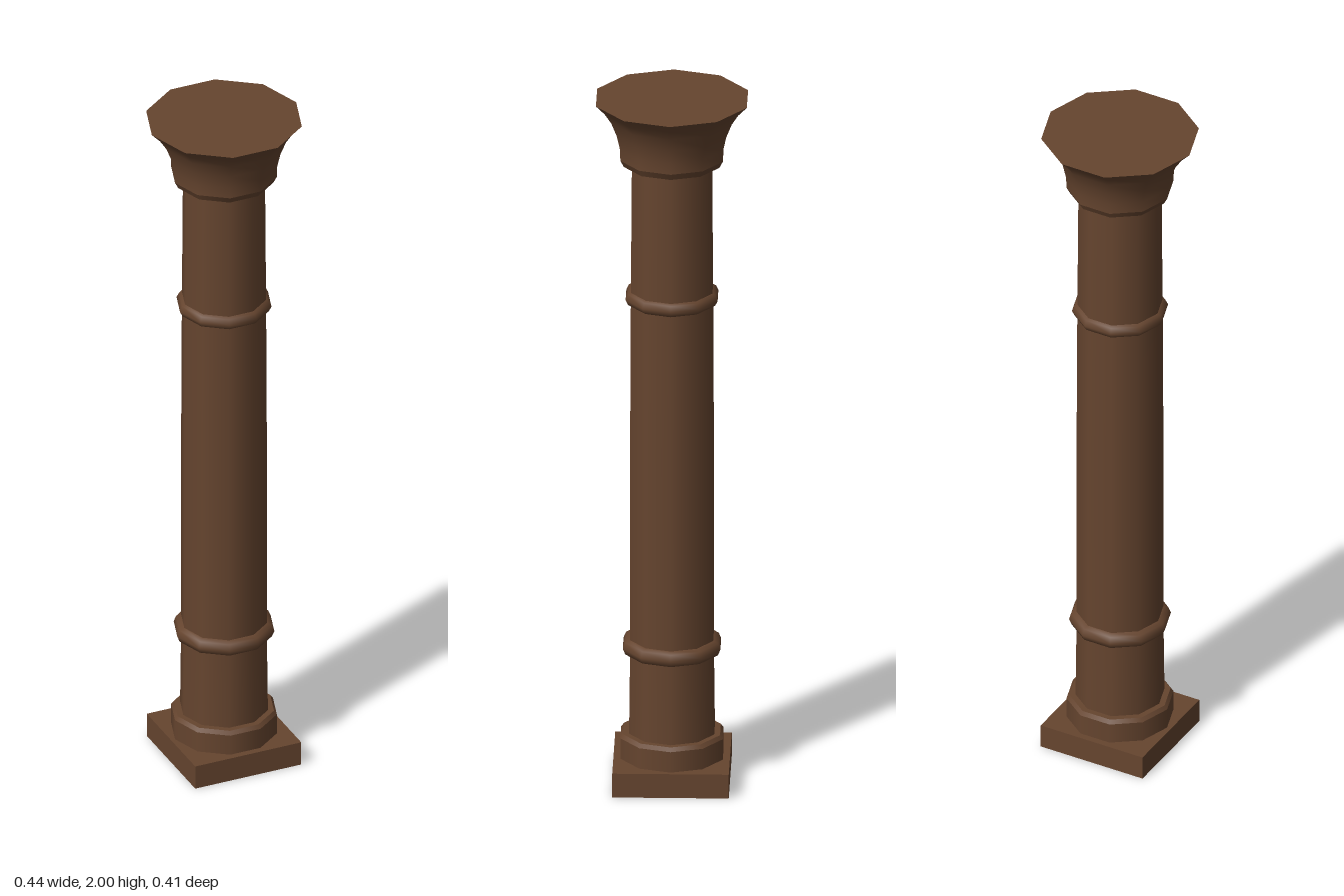
import * as THREE from 'three';

const SIDES = 10;

export function createModel() {
  const column = new THREE.Group();
  column.name = 'column';
  const brown = new THREE.MeshStandardMaterial({ color: 0x66452f, side: THREE.DoubleSide });
  brown.name = 'brown';

  // Ten-sided turned part with a corner on +x; profile is [radius, height] going up.
  // Each run in the list keeps its own normals, so runs meet in a sharp edge.
  function turned(name, ...runs) {
    const part = new THREE.Group();
    part.name = name;
    runs.forEach((run, i) => {
      const points = run.map(([r, y]) => new THREE.Vector2(r, y));
      const mesh = new THREE.Mesh(new THREE.LatheGeometry(points, SIDES, Math.PI / 2), brown);
      mesh.name = `${name}Surface${i + 1}`;
      part.add(mesh);
    });
    column.add(part);
  }

  // Square plinth, open underneath
  const plinthGeometry = new THREE.BoxGeometry(0.32, 0.07, 0.32);
  const faces = Array.from(plinthGeometry.index.array);
  faces.splice(18, 6);
  plinthGeometry.setIndex(faces);
  plinthGeometry.clearGroups();
  const plinth = new THREE.Mesh(plinthGeometry, brown);
  plinth.name = 'plinth';
  plinth.position.y = 0.035;
  column.add(plinth);

  // Base drum with a bevelled shoulder
  turned('base',
    [[0.148, 0.07], [0.148, 0.13]],
    [[0.148, 0.13], [0.14, 0.141]],
    [[0.14, 0.141], [0.12, 0.141]]);

  // Slightly tapering shaft
  turned('shaft', [[0.123, 0.14], [0.12, 0.39], [0.12, 1.0], [0.118, 1.42], [0.115, 1.815]]);

  // Rounded bands around the shaft
  for (const [name, y, inner, outer, half] of [
    ['lowerBand', 0.393, 0.12, 0.141, 0.023],
    ['upperBand', 1.42, 0.117, 0.133, 0.02],
  ]) {
    turned(name, [
      [inner, y - half], [outer - 0.007, y - half * 0.75], [outer, y],
      [outer - 0.007, y + half * 0.75], [inner, y + half],
    ]);
  }

  // Flared capital with a collar below and a flat top
  turned('capital',
    [[0.113, 1.813], [0.138, 1.813]],
    [[0.138, 1.813], [0.148, 1.832]],
    [[0.148, 1.832], [0.149, 1.865], [0.158, 1.905], [0.174, 1.945], [0.193, 1.974], [0.218, 2]],
    [[0.218, 2], [0, 2]]);

  return column;
}
